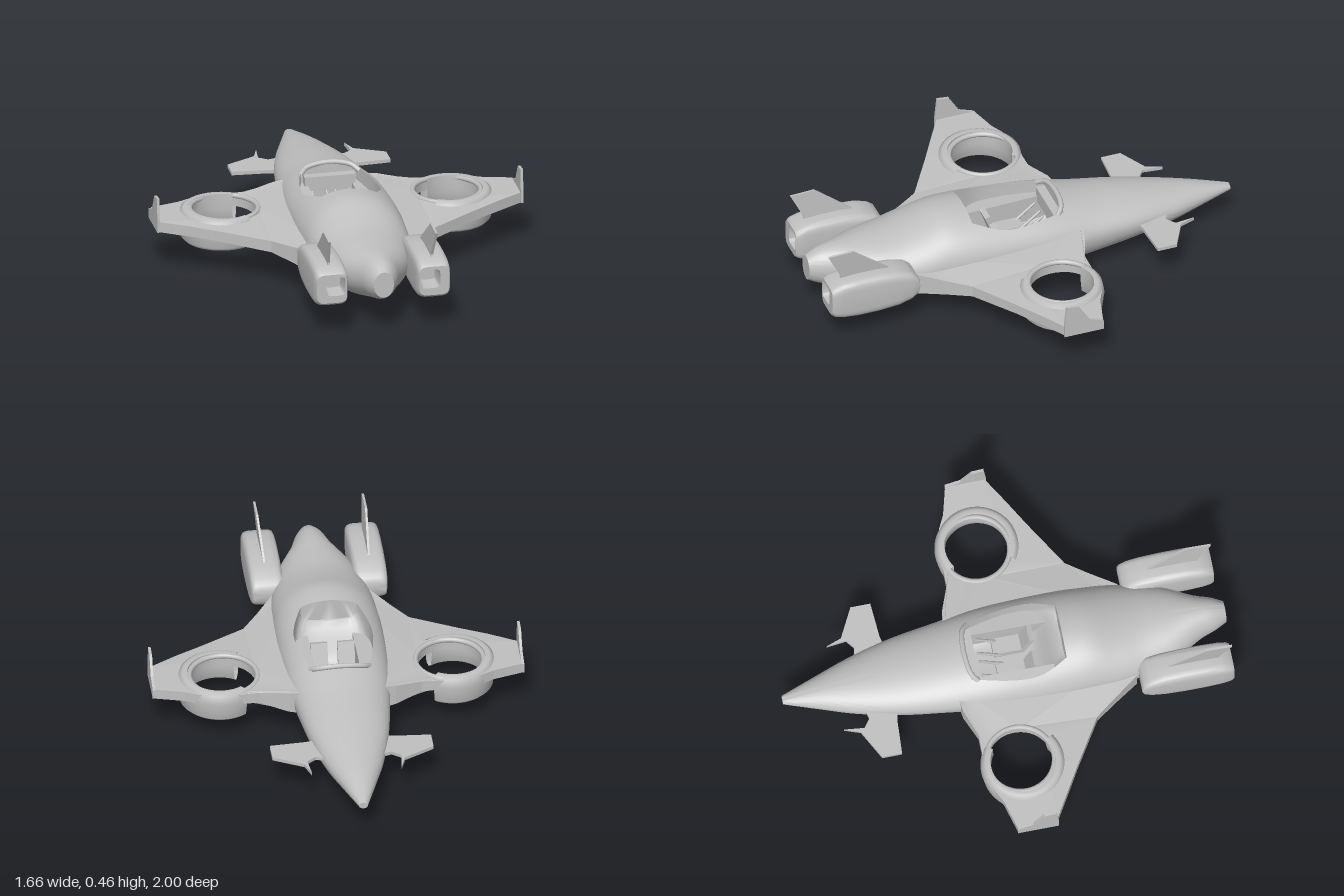
import * as THREE from 'three';
import { toCreasedNormals } from 'three/addons/utils/BufferGeometryUtils.js';

const hullGrey = new THREE.MeshStandardMaterial({ color: 0xc0c0c0, side: THREE.DoubleSide });
hullGrey.name = 'hull grey';

function part(name, geometry, parent) {
  const mesh = new THREE.Mesh(geometry, hullGrey);
  mesh.name = name;
  parent.add(mesh);
  return mesh;
}

// Skin a list of closed rings (arrays of Vector3) and cap both ends
function loft(rings, crease = 0.7) {
  const pos = [], idx = [], n = rings[0].length;
  rings.forEach(r => r.forEach(p => pos.push(p.x, p.y, p.z)));
  for (let i = 0; i < rings.length - 1; i++)
    for (let j = 0; j < n; j++) {
      const a = i * n + j, b = i * n + (j + 1) % n;
      idx.push(a, b, a + n, b, b + n, a + n);
    }
  [0, rings.length - 1].forEach((k, end) => {
    const c = rings[k].reduce((s, p) => s.add(p), new THREE.Vector3()).divideScalar(n);
    pos.push(c.x, c.y, c.z);
    const ci = pos.length / 3 - 1;
    for (let j = 0; j < n; j++) {
      const a = k * n + j, b = k * n + (j + 1) % n;
      end ? idx.push(ci, a, b) : idx.push(ci, b, a);
    }
  });
  const g = new THREE.BufferGeometry();
  g.setAttribute('position', new THREE.Float32BufferAttribute(pos, 3));
  g.setIndex(idx);
  return toCreasedNormals(g, crease);
}

// Superellipse ring at depth z
function oval(z, cx, cy, w, h, power = 0.5, n = 32) {
  const f = v => Math.sign(v) * Math.abs(v) ** power;
  return Array.from({ length: n }, (_, i) => {
    const a = -i / n * Math.PI * 2;
    return new THREE.Vector3(cx + w * f(Math.cos(a)), cy + h * f(Math.sin(a)), z);
  });
}

// Thin plate from outline points, centred on its own thickness
function plate(points, thickness) {
  const shape = new THREE.Shape(points.map(p => new THREE.Vector2(...p)));
  return new THREE.ExtrudeGeometry(shape, { depth: thickness, bevelEnabled: false }).translate(0, 0, -thickness / 2);
}
// Outline as (z, y), standing upright / outline as (x, z), lying flat
const upright = (points, t) => plate(points.map(([z, y]) => [-z, y]), t).rotateY(Math.PI / 2);
const flat = (points, t) => plate(points, t).rotateX(Math.PI / 2);

// Fuselage stations: half width, waist height, top, bottom
const stations = [
  [-1, 0.02, 0.165, 0.18, 0.15], [-0.83, 0.08, 0.17, 0.225, 0.115], [-0.7, 0.125, 0.175, 0.25, 0.09],
  [-0.5, 0.175, 0.19, 0.285, 0.06], [-0.3, 0.205, 0.2, 0.317, 0.035], [-0.1, 0.23, 0.21, 0.36, 0.016],
  [0.1, 0.24, 0.21, 0.385, 0.01], [0.3, 0.24, 0.21, 0.403, 0.015], [0.38, 0.235, 0.21, 0.402, 0.02],
  [0.5, 0.228, 0.21, 0.37, 0.036], [0.6, 0.21, 0.21, 0.348, 0.055], [0.75, 0.165, 0.22, 0.338, 0.088],
  [0.88, 0.095, 0.23, 0.333, 0.128], [0.95, 0.07, 0.235, 0.32, 0.15], [1, 0.045, 0.235, 0.295, 0.175],
];
const spline = new THREE.CubicInterpolant(stations.map(s => s[0]), stations.flatMap(s => s.slice(1)), 4);
const pit = { front: -0.17, back: 0.26 };

function hullRing(z) {
  const [w, mid, top, bottom] = spline.evaluate(z);
  const open = z > pit.front && z < pit.back;
  // Cockpit rim half width, widest behind the middle
  const bulge = z < 0.1 ? (z - pit.front) / 0.27 : (pit.back - z) / 0.16;
  const c = open ? 0.125 + 0.05 * Math.sin(Math.min(1, bulge) * Math.PI / 2) : Math.min(0.125, w * 0.7);
  const rim = Math.acos(c / w), ring = [];
  const skin = a => new THREE.Vector3(w * Math.cos(a), mid + Math.sin(a) * (Math.sin(a) > 0 ? top - mid : mid - bottom), z);
  for (let i = 0; i <= 44; i++) ring.push(skin(rim - (Math.PI + 2 * rim) * i / 44));
  const rimY = skin(rim).y;
  const floor = 0.13 + 0.17 * THREE.MathUtils.smoothstep(z, 0.12, pit.back);
  for (let i = 1; i < 24; i++) {
    const t = i / 24, s = Math.PI * (1 - t);
    if (!open) ring.push(skin(Math.PI - rim + (2 * rim - Math.PI) * t));
    else ring.push(new THREE.Vector3(c * Math.sign(Math.cos(s)) * Math.abs(Math.cos(s)) ** 0.5,
      rimY - (rimY - floor) * Math.sin(s) ** 0.4, z));
  }
  return ring;
}

function buildSide(side) {
  // Wing with a round fan opening, thickening toward the root
  const wing = new THREE.Shape([[0.1, -0.25], [0.24, -0.23], [0.36, -0.185], [0.44, -0.185], [0.53, -0.195], [0.63, -0.165],
    [0.69, -0.135], [0.82, -0.1], [0.825, 0.075], [0.7, 0.15], [0.58, 0.22], [0.37, 0.35], [0.3, 0.445],
    [0.22, 0.56], [0.1, 0.56]].map(p => new THREE.Vector2(...p)));
  const hole = new THREE.Path();
  hole.absarc(0.505, -0.025, 0.145, 0, Math.PI * 2, true);
  wing.holes.push(hole);
  const wg = new THREE.ExtrudeGeometry(wing, { depth: 1, bevelEnabled: false, curveSegments: 32 }).rotateX(Math.PI / 2);
  const p = wg.attributes.position;
  for (let i = 0; i < p.count; i++) {
    const root = 1 - THREE.MathUtils.smoothstep(p.getX(i), 0.1, 0.42);
    const rear = THREE.MathUtils.smoothstep(p.getZ(i), 0.1, 0.4);
    const up = p.getY(i) > -0.5;
    p.setY(i, (up ? 0.238 + 0.03 * root : 0.19 - 0.05 * root) - rear * 0.025);
  }
  wg.computeVertexNormals();
  part('wing', wg, side);

  // Fan duct hanging below the wing, open toward the body
  const profile = [[0.145, 0.25], [0.142, 0.18], [0.15, 0.115], [0.165, 0.105], [0.18, 0.12], [0.19, 0.2],
    [0.182, 0.24], [0.165, 0.252], [0.145, 0.25]].map(q => new THREE.Vector2(...q));
  const duct = part('fanDuct', new THREE.LatheGeometry(profile, 48, Math.PI / 2 - 2.15, 4.3), side);
  duct.position.set(0.52, 0, -0.015);
  const lip = part('fanLip', new THREE.TorusGeometry(0.152, 0.012, 8, 48).rotateX(Math.PI / 2), side);
  lip.position.set(0.505, 0.237, -0.025);

  // Wingtip fin
  part('wingtipFin', upright([[0.085, 0.19], [0.085, 0.25], [0.075, 0.348], [0.02, 0.342], [-0.03, 0.26], [-0.1, 0.235], [-0.1, 0.19]], 0.012), side)
    .position.x = 0.824;

  // Forward canard
  part('canard', flat([[0.1, -0.5], [0.2, -0.52], [0.36, -0.53], [0.36, -0.62], [0.225, -0.69], [0.2, -0.76],
    [0.21, -0.67], [0.17, -0.64], [0.1, -0.66]], 0.016), side).position.y = 0.185;

  // Engine pod with a recessed square nozzle
  const pod = [[0.57, 0.065, 0.03], [0.58, 0.07, 0.05], [0.61, 0.074, 0.072], [0.67, 0.076, 0.09], [0.76, 0.077, 0.098],
    [0.86, 0.077, 0.098], [0.93, 0.076, 0.092], [0.97, 0.074, 0.08], [0.985, 0.068, 0.068],
    [0.985, 0.044, 0.044], [0.9, 0.036, 0.036]];
  part('enginePod', loft(pod.map(([z, w, h], i) => oval(z, i > 8 ? 0.215 : 0.232, i > 8 ? 0.24 : 0.23, w, h, 0.4))), side);

  // Tail fin, leaning slightly outward
  const fin = part('tailFin', upright([[0.66, -0.03], [0.7, 0.01], [0.87, 0.145], [0.985, 0.14], [0.925, 0.02], [0.93, -0.03]], 0.01), side);
  fin.position.set(0.233, 0.315, 0);
  fin.rotation.z = -0.07;

  // Belly skid
  const skid = part('bellySkid', flat([[0.06, 0.03], [0.19, 0.06], [0.185, 0.13], [0.08, 0.15]], 0.01), side);
  skid.position.y = -0.001;
  skid.rotation.z = 0.06;

  // Seat and control lever
  part('seat', new THREE.BoxGeometry(0.075, 0.04, 0.14), side).position.set(0.06, 0.155, 0.03);
  const back = part('seatBack', new THREE.BoxGeometry(0.075, 0.13, 0.025), side);
  back.position.set(0.06, 0.205, 0.11);
  back.rotation.x = 0.35;
  for (const x of [0.02, 0.085]) {
    const lever = part('controlLever', new THREE.CylinderGeometry(0.006, 0.008, 0.14, 8), side);
    lever.position.set(x, 0.2, -0.06);
    lever.rotation.x = -0.9;
  }
}

export function createModel() {
  const model = new THREE.Group();
  model.name = 'gunship';

  // Fuselage with sunken cockpit
  const zs = Array.from({ length: 81 }, (_, i) => -1 + i / 40);
  zs.push(pit.front - 0.001, pit.front + 0.001, pit.back - 0.001, pit.back + 0.001);
  zs.sort((a, b) => a - b);
  part('fuselage', loft(zs.map(hullRing), 0.8), model);

  // Windscreen hoop and dashboard
  const hoop = new THREE.CatmullRomCurve3([[-0.135, 0.315, -0.14], [-0.1, 0.338, -0.168], [0, 0.352, -0.18],
    [0.1, 0.338, -0.168], [0.135, 0.315, -0.14]].map(q => new THREE.Vector3(...q)));
  part('windscreenHoop', new THREE.TubeGeometry(hoop, 24, 0.012, 8), model);
  part('dashboard', new THREE.BoxGeometry(0.23, 0.07, 0.04), model).position.set(0, 0.27, -0.15);

  // Central exhaust slats
  for (const x of [-0.024, 0, 0.024])
    part('exhaustSlat', new THREE.BoxGeometry(0.01, 0.085, 0.03), model).position.set(x, 0.235, 0.985);

  // Everything paired
  for (const s of [1, -1]) {
    const side = new THREE.Group();
    side.name = s > 0 ? 'leftSide' : 'rightSide';
    buildSide(side);
    side.scale.x = s;
    model.add(side);
  }
  return model;
}
